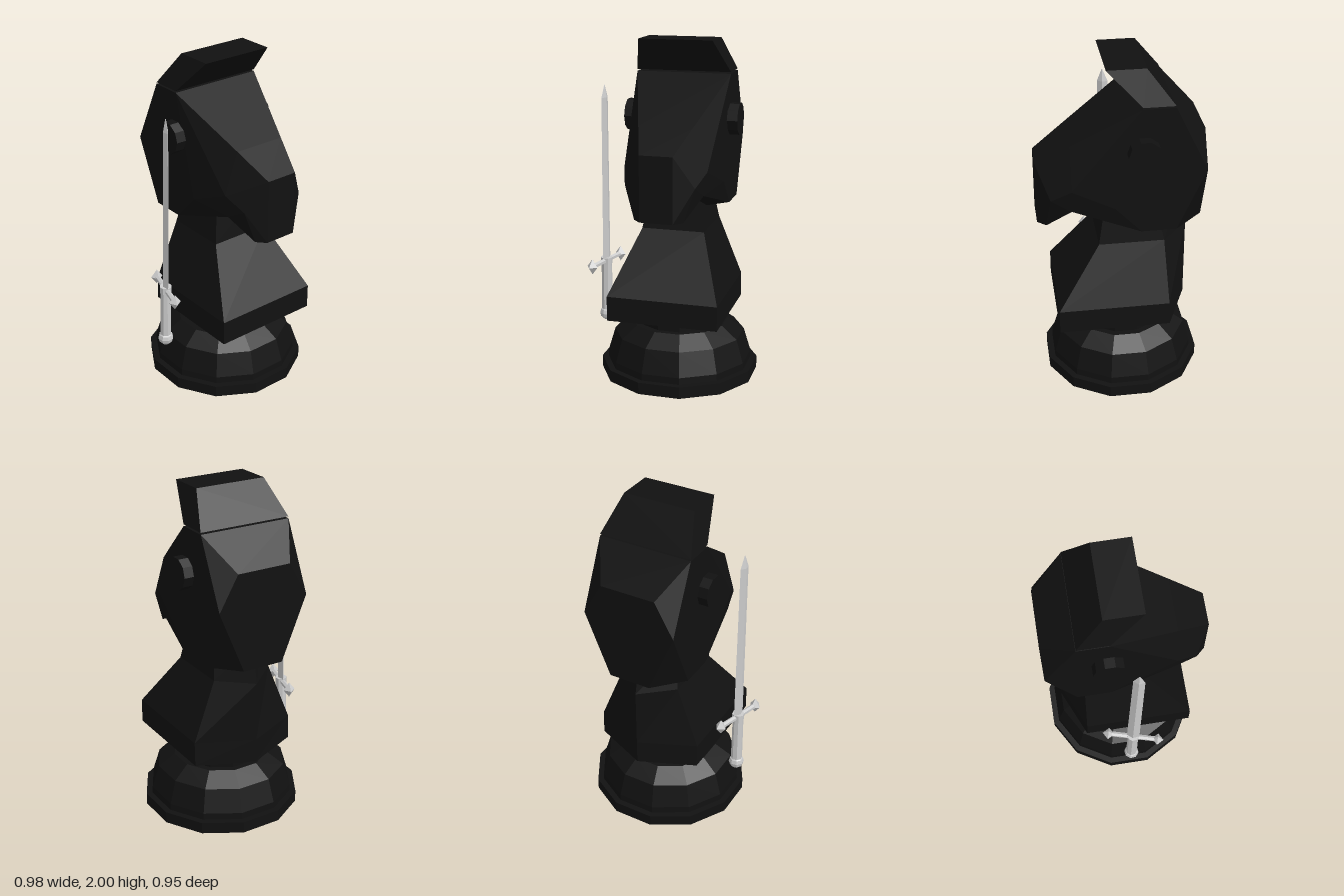
import * as THREE from 'three';
import { ConvexGeometry } from 'three/addons/geometries/ConvexGeometry.js';

const dark = new THREE.MeshStandardMaterial({ color: 0x111111, flatShading: true });
const grey = new THREE.MeshStandardMaterial({ color: 0xcccccc, flatShading: true });

function add(parent, name, geometry, material, x = 0, y = 0, z = 0) {
  const mesh = new THREE.Mesh(geometry, material);
  mesh.name = name;
  mesh.position.set(x, y, z);
  parent.add(mesh);
  return mesh;
}

// Convex solid from corner points [halfWidth, y, z], mirrored across x
function mirroredHull(corners) {
  return new ConvexGeometry(corners.flatMap(([x, y, z]) =>
    [new THREE.Vector3(x, y, z), new THREE.Vector3(-x, y, z)]));
}

// Closed skin over stacked rings of [x, y, z], each counter-clockwise from above
function loft(rings) {
  const n = rings[0].length, index = [];
  for (let r = 0; r < rings.length - 1; r++) {
    for (let i = 0; i < n; i++) {
      const a = r * n + i, b = r * n + (i + 1) % n;
      index.push(a, b, b + n, a, b + n, a + n);
    }
  }
  const top = (rings.length - 1) * n;
  for (let i = 1; i < n - 1; i++) index.push(0, i + 1, i, top, top + i, top + i + 1);
  const g = new THREE.BufferGeometry();
  g.setAttribute('position', new THREE.Float32BufferAttribute(rings.flat(2), 3));
  g.setIndex(index);
  const flat = g.toNonIndexed();
  flat.computeVertexNormals();
  return flat;
}

function createSword() {
  const sword = new THREE.Group();
  sword.name = 'sword';

  // Blade of diamond section with a tapered point
  const bladeRing = (y, w, t) => [[0, y, w], [t, y, 0], [0, y, -w], [-t, y, 0]];
  add(sword, 'blade', loft([
    bladeRing(0, 0.038, 0.018), bladeRing(1.0, 0.032, 0.015), bladeRing(1.075, 0.002, 0.002),
  ]), grey);

  // Crossguard with pointed ends
  const bar = add(sword, 'crossguard', new THREE.CylinderGeometry(0.016, 0.016, 0.3, 6), grey);
  bar.rotation.x = Math.PI / 2;
  add(sword, 'guardCollar', new THREE.CylinderGeometry(0.036, 0.036, 0.04, 8), grey);
  for (const s of [-1, 1]) {
    const end = add(sword, 'guardEnd', new THREE.OctahedronGeometry(0.048), grey, 0, 0, s * 0.15);
    end.scale.set(0.75, 1, 0.75);
  }

  // Grip and pommel
  add(sword, 'grip', new THREE.CylinderGeometry(0.032, 0.034, 0.32, 8), grey, 0, -0.16, 0);
  add(sword, 'pommel', new THREE.SphereGeometry(0.046, 8, 6), grey, 0, -0.34, 0);

  sword.position.set(-0.415, 0.65, 0);
  sword.rotation.set(0.025, -0.27, -0.012, 'XZY');
  return sword;
}

export function createModel() {
  const model = new THREE.Group();
  const piece = new THREE.Group();
  piece.name = 'knightPiece';
  piece.position.x = 0.04;
  model.add(piece);

  // Twelve-sided turned base; profile is [distance to flat, y]
  const profile = [[0, 0], [0.455, 0], [0.455, 0.07], [0.42, 0.07], [0.418, 0.11],
    [0.377, 0.25], [0.28, 0.32], [0.245, 0.32], [0.245, 0.42], [0, 0.42]];
  const points = profile.map(([d, y]) => new THREE.Vector2(d / Math.cos(Math.PI / 12), y));
  add(piece, 'base', new THREE.LatheGeometry(points, 12, Math.PI / 12), dark, 0, 0, -0.02);

  // Neck with a flat front and a ridge down the back
  const neckRing = (y, w, front, side, back) =>
    [[w, y, front], [w, y, side], [0, y, back], [-w, y, side], [-w, y, front]];
  add(piece, 'neck', loft([
    neckRing(0.41, 0.325, 0.38, -0.27, -0.41),
    neckRing(0.555, 0.325, 0.38, -0.265, -0.41),
    neckRing(0.91, 0.185, 0.13, -0.25, -0.41),
    neckRing(1.12, 0.15, 0.095, -0.2, -0.36),
  ]), dark);

  // Skull, then the muzzle that shares its front section
  const section = [[0.156, 1.542, 0.285], [0.24, 1.3, 0.285], [0.22, 1.165, 0.285]];
  add(piece, 'skull', mirroredHull([
    ...section,
    [0.28, 1.795, -0.1], [0.28, 1.795, -0.28],
    [0.165, 1.61, -0.465], [0.28, 1.41, -0.465], [0.125, 1.04, -0.468],
    [0.28, 1.04, -0.3], [0.28, 1.04, -0.1], [0.18, 1.04, 0], [0.28, 1.2, 0.05],
  ]), dark);
  add(piece, 'muzzle', mirroredHull([
    ...section,
    [0.095, 1.415, 0.475], [0.095, 1.04, 0.475], [0.14, 1.04, 0.425], [0.2, 1.23, 0.4],
  ]), dark);

  // Crest leaning forward above the head
  add(piece, 'crest', mirroredHull([
    [0.28, 1.805, -0.1], [0.28, 1.805, -0.278], [0.215, 2, 0.09], [0.215, 2, -0.128],
  ]), dark);

  // Eyes
  for (const s of [-1, 1]) {
    const eye = add(piece, s > 0 ? 'leftEye' : 'rightEye',
      new THREE.CylinderGeometry(0.094, 0.094, 0.2, 10), dark, s * 0.238, 1.538, -0.11);
    eye.rotation.z = Math.PI / 2;
  }

  model.add(createSword());
  return model;
}
